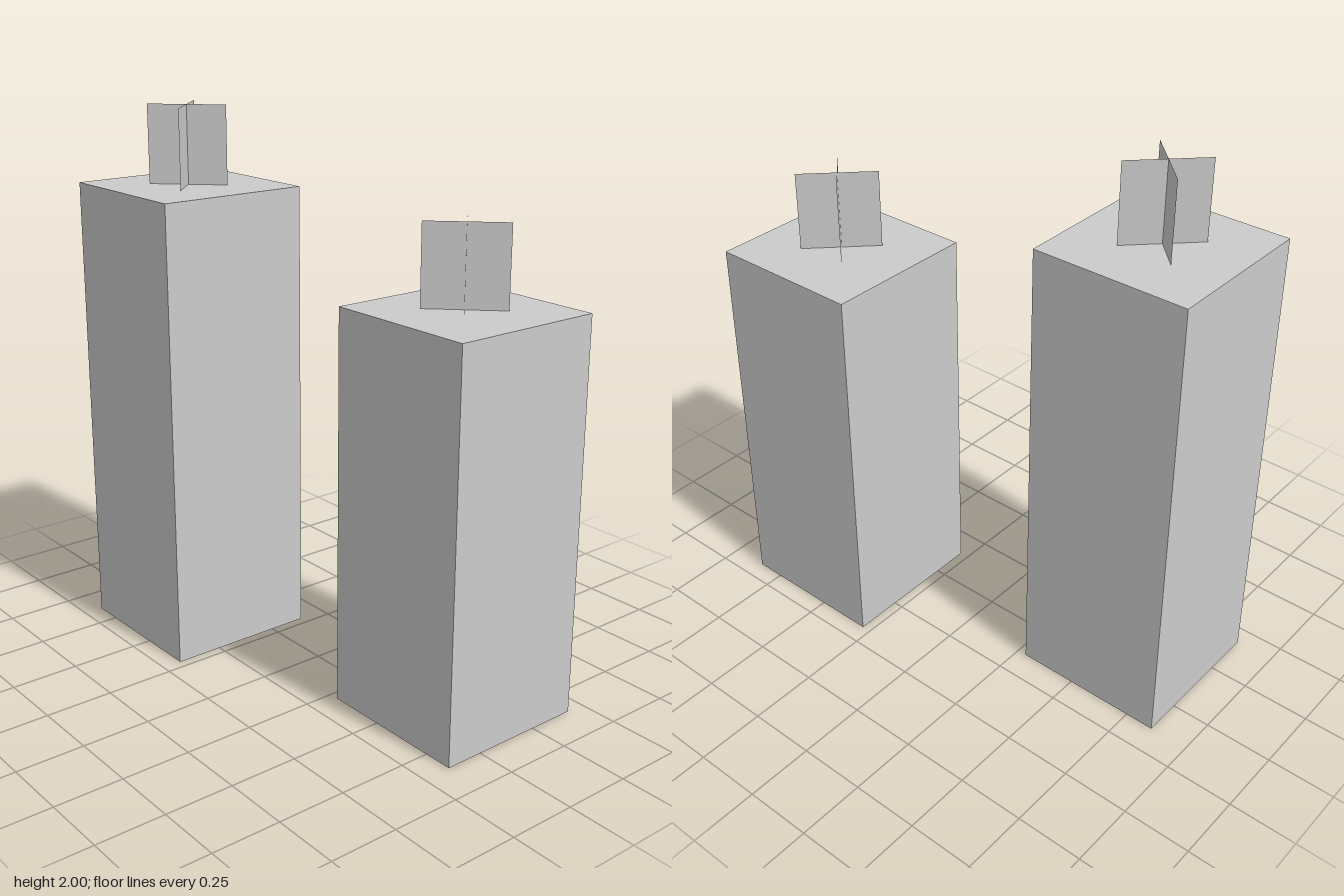
import * as THREE from 'three';

const SIZE = 4 / 7;   // candle width and depth
const WICK = 2 / 7;   // wick height and width

function createCandle(name, height, x, z) {
  const candle = new THREE.Group();
  candle.name = name;
  candle.position.set(x, 0, z);

  // Square wax body
  const wax = new THREE.Mesh(
    new THREE.BoxGeometry(SIZE, height, SIZE),
    new THREE.MeshStandardMaterial({ color: 0xcccccc })
  );
  wax.name = 'wax';
  wax.position.y = height / 2;
  candle.add(wax);

  // Wick: two flat panes crossed on the diagonals
  const wick = new THREE.Group();
  wick.name = 'wick';
  wick.position.y = height + WICK / 2;
  for (const side of [-1, 1]) {
    const pane = new THREE.Mesh(
      new THREE.PlaneGeometry(WICK, WICK),
      new THREE.MeshStandardMaterial({ color: 0xcccccc, side: THREE.DoubleSide })
    );
    pane.name = 'wickPane';
    pane.rotation.y = side * Math.PI / 4;
    wick.add(pane);
  }
  candle.add(wick);
  return candle;
}

export function createModel() {
  const model = new THREE.Group();
  model.name = 'candles';
  model.add(
    createCandle('tallCandle', 12 / 7, -4 / 7, 1 / 7),
    createCandle('shortCandle', 10 / 7, 4 / 7, -1 / 7)
  );
  return model;
}
